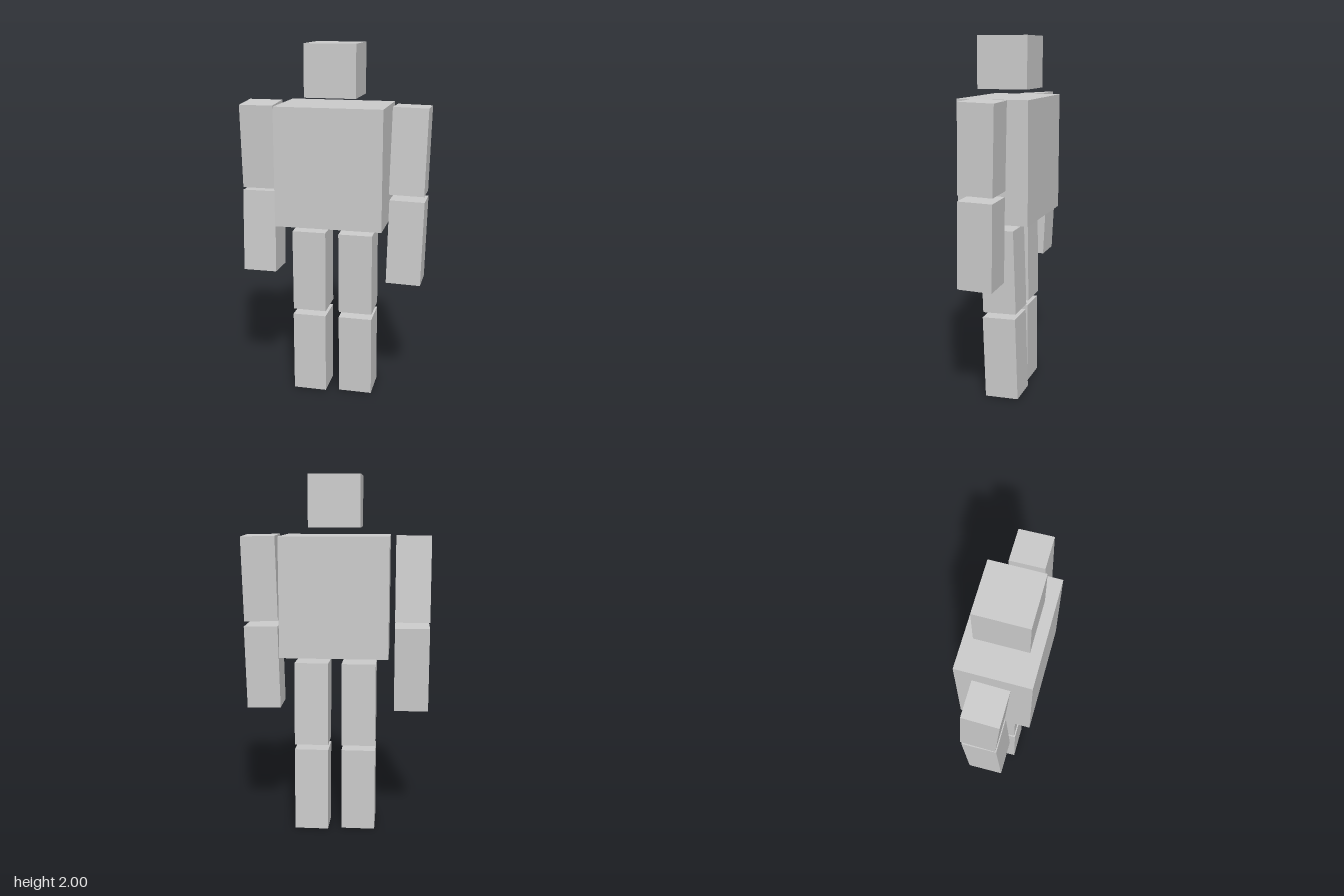
import * as THREE from 'three';

const material = new THREE.MeshStandardMaterial({ color: 0xcccccc, flatShading: true });

// A box with its size, centre and a slight tilt (pitch about x, roll about z)
function block(name, size, position, pitch = 0, roll = 0) {
  const mesh = new THREE.Mesh(new THREE.BoxGeometry(...size), material);
  mesh.name = name;
  mesh.position.set(...position);
  mesh.rotation.set(pitch, 0, roll);
  return mesh;
}

export function createModel() {
  const model = new THREE.Group();
  model.name = 'blockFigure';

  // Head and body
  model.add(block('head', [0.28, 0.28, 0.28], [0, 1.86, 0]));
  model.add(block('torso', [0.592, 0.655, 0.392], [-0.001, 1.348, 0]));

  // Every limb segment is the same block, posed slightly differently
  const limb = [0.19, 0.468, 0.19];
  const segments = [
    ['leftUpperArm', [0.418, 1.441, 0.008], -0.028, -0.022],
    ['leftLowerArm', [0.411, 0.943, 0.02], -0.02, -0.022],
    ['rightUpperArm', [-0.425, 1.44, -0.013], 0.063, 0],
    ['rightLowerArm', [-0.425, 0.949, -0.012], -0.047, 0],
    ['leftUpperLeg', [0.132, 0.736, -0.005], 0.034, 0],
    ['leftLowerLeg', [0.132, 0.238, -0.017], 0.034, 0],
    ['rightUpperLeg', [-0.132, 0.736, 0.001], 0.012, 0],
    ['rightLowerLeg', [-0.132, 0.238, 0.003], 0.004, 0],
  ];
  for (const [name, position, pitch, roll] of segments) {
    model.add(block(name, limb, position, pitch, roll));
  }
  return model;
}
